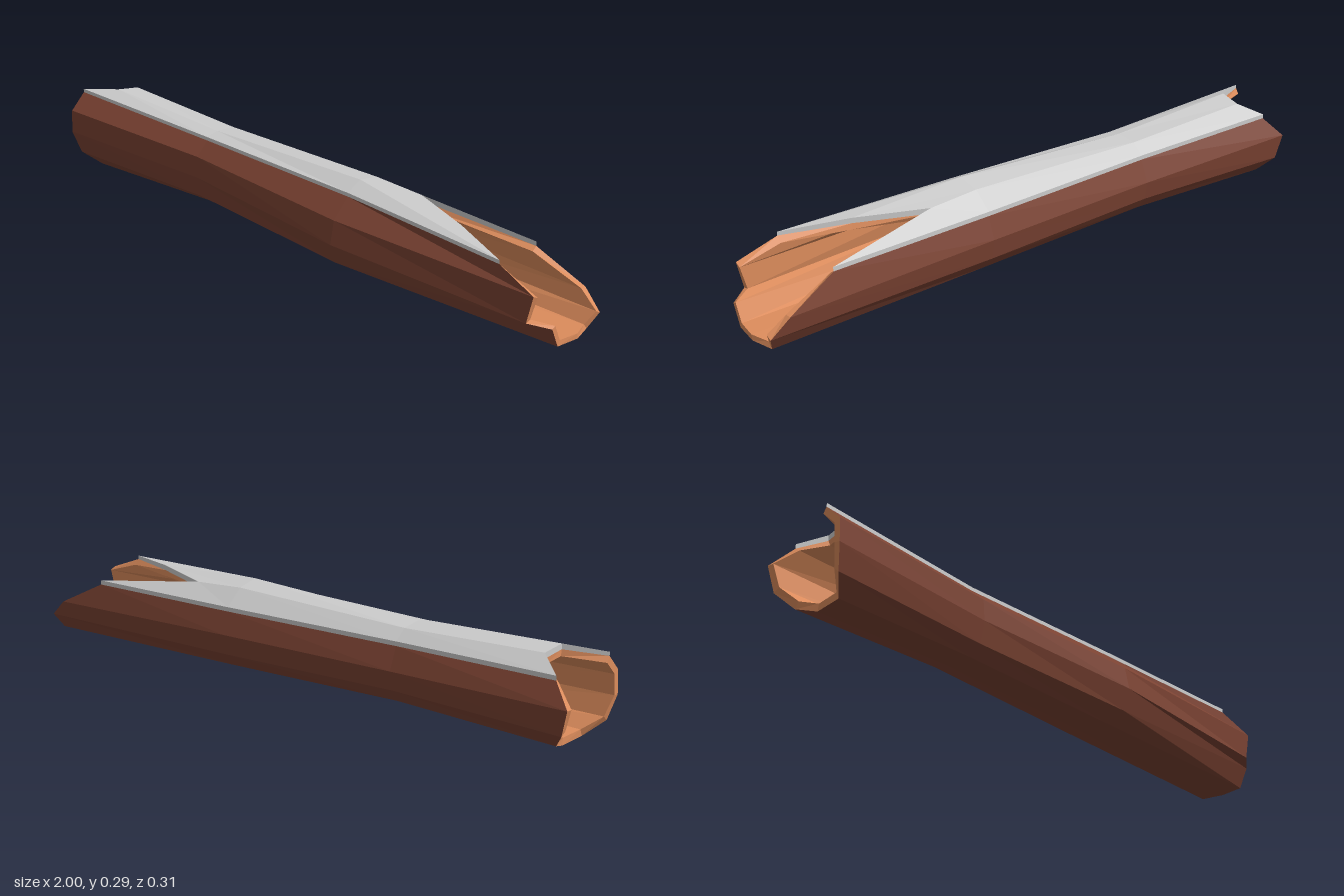
import * as THREE from 'three';

// Cross-sections as [z, y], from the front edge of the snow down the front, under and up the back
const sections = [
  [[.07, .252], [.125, .2], [.13, .125], [.11, .05], [.062, .005], [-.03, 0], [-.1, .022], [-.145, .07], [-.155, .15], [-.115, .215], [-.06, .25], [.015, .262]],
  [[.055, .243], [.1, .2], [.105, .13], [.09, .06], [.05, .03], [-.03, .025], [-.09, .04], [-.12, .08], [-.13, .14], [-.1, .21], [-.06, .238], [.01, .246]],
  [[.075, .253], [.135, .195], [.15, .12], [.125, .052], [.065, .022], [-.03, .018], [-.09, .03], [-.13, .075], [-.14, .14], [-.115, .21], [-.055, .257], [.02, .273]],
  [[.105, .248], [.12, .2], [.12, .112], [.08, .1], [.05, .035], [-.03, .032], [-.1, .028], [-.13, .075], [-.14, .13], [-.118, .21], [-.06, .25], [.025, .255]],
];
// Position of each section along x; the two ends are ragged
const stations = [
  [-1, -1, -1, -.98, -.93, -.92, -.94, -.98, -1, -.94, -.87, -.88],
  Array(12).fill(-.4),
  Array(12).fill(.23),
  [.82, .95, .93, .99, .99, 1, .98, 1, .94, .78, .4, .62],
];

// Flat-shaded skin over rows of points
function skin(rows, flip = false) {
  const pos = [];
  for (let i = 0; i < rows.length - 1; i++) {
    for (let k = 0; k < rows[i].length - 1; k++) {
      const a = rows[i][k], b = rows[i][k + 1], c = rows[i + 1][k + 1], d = rows[i + 1][k];
      const tris = flip ? [a, c, b, a, d, c] : [a, b, c, a, c, d];
      tris.forEach((p) => pos.push(p.x, p.y, p.z));
    }
  }
  const geometry = new THREE.BufferGeometry();
  geometry.setAttribute('position', new THREE.Float32BufferAttribute(pos, 3));
  geometry.computeVertexNormals();
  return geometry;
}

export function createModel() {
  const group = new THREE.Group();
  group.name = 'hollowLog';
  const material = (color) => new THREE.MeshStandardMaterial({ color, flatShading: true, side: THREE.DoubleSide });
  const barkMat = material(0x7a4232), woodMat = material(0xdc8c5c), snowMat = material(0xcccccc);
  const add = (name, geometry, mat) => {
    const mesh = new THREE.Mesh(geometry, mat);
    mesh.name = name;
    group.add(mesh);
  };

  const closed = (row) => [...row, row[0]];
  const outer = sections.map((s, i) => s.map(([z, y], k) => new THREE.Vector3(stations[i][k], y, z)));
  // The hollow is each section shrunk about its middle
  const inner = outer.map((row) => row.map((p) => new THREE.Vector3(p.x, .142 + (p.y - .142) * .84, -.005 + (p.z + .005) * .85)));

  // Bark and hollow
  add('bark', skin(outer.map(closed)), barkMat);
  add('hollow', skin(inner.map(closed), true), woodMat);

  // Broken wood at both ends
  add('rightEndRim', skin([closed(inner[0]), closed(outer[0])]), woodMat);
  add('leftEndRim', skin([closed(outer[3]), closed(inner[3])]), woodMat);

  // Snow lying along the top
  const strip = (row) => [row[9], row[10], row[11], row[0]];
  const base = outer.map(strip);
  const top = base.map((row) => row.map((p, k) => new THREE.Vector3(p.x, p.y + [.014, .018, .017, .012][k], p.z)));
  add('snow', skin(top), snowMat);

  // Edges of the snow layer
  add('snowRightEdge', skin([base[0], top[0]]), snowMat);
  add('snowLeftEdge', skin([top[3], base[3]]), snowMat);
  const column = (rows, k) => rows.map((row) => row[k]);
  add('snowBackEdge', skin([column(base, 0), column(top, 0)], true), snowMat);
  add('snowFrontEdge', skin([column(base, 3), column(top, 3)]), snowMat);
  return group;
}
